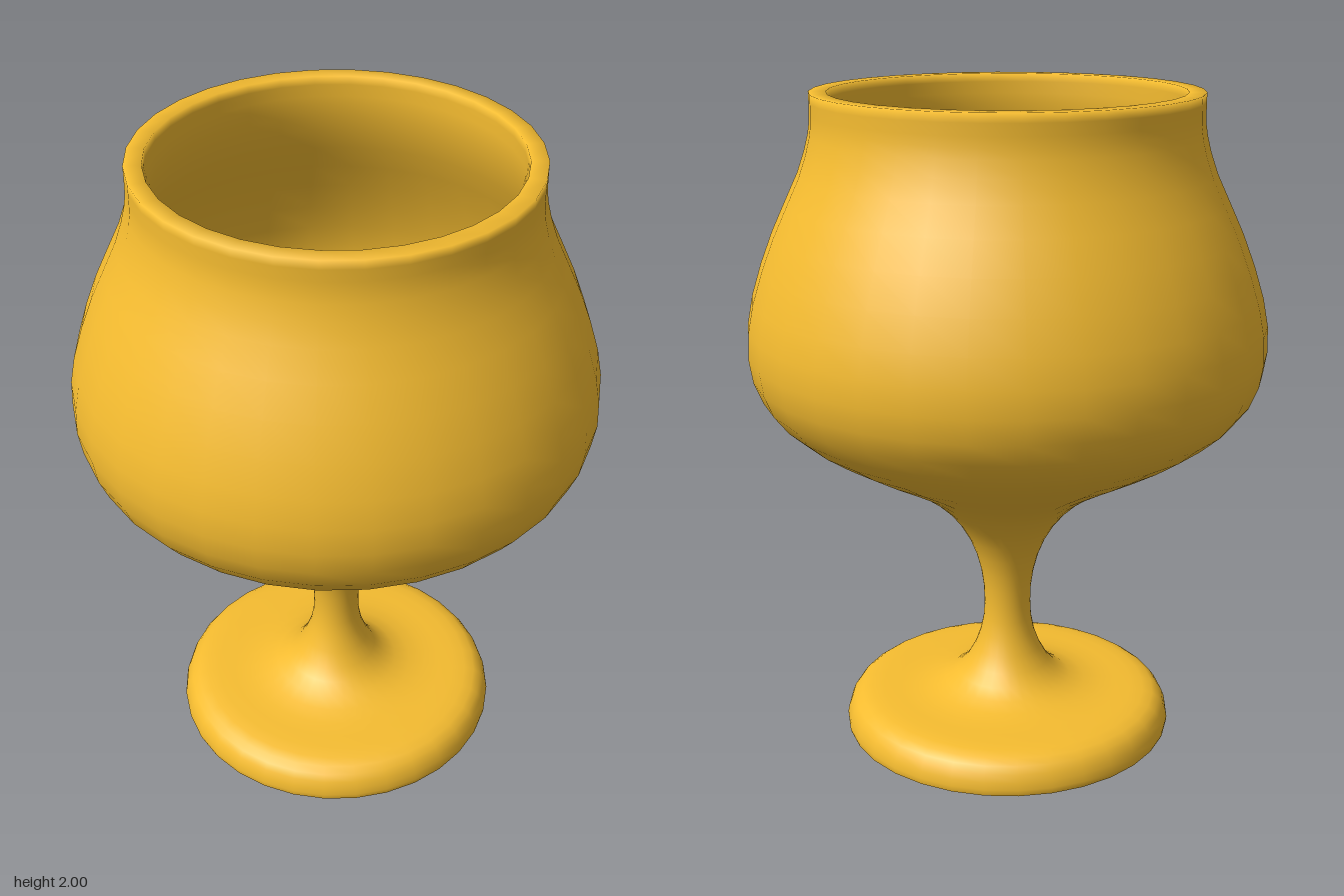
import * as THREE from 'three';

const WALL = 0.05;

// Outer silhouette, from the lip of the foot up to the rim: [radius, height]
const OUTLINE = [
  [0.515, 0], [0.518, 0.02], [0.505, 0.065], [0.47, 0.1], [0.4, 0.112], [0.3, 0.116],
  [0.2, 0.14], [0.13, 0.2], [0.085, 0.3], [0.073, 0.4], [0.083, 0.51], [0.12, 0.62],
  [0.19, 0.72], [0.3, 0.81], [0.48, 0.91], [0.64, 1.01], [0.74, 1.115], [0.777, 1.25],
  [0.757, 1.41], [0.69, 1.6], [0.61, 1.77], [0.576, 1.88], [0.57, 1.94], [0.57, 2],
];

export function createModel() {
  const group = new THREE.Group();
  group.name = 'goblet';

  const curve = new THREE.SplineCurve(OUTLINE.map(([r, y]) => new THREE.Vector2(r, y)));
  const steps = (OUTLINE.length - 1) * 2;
  const outer = [], inner = [];
  for (let i = 0; i <= steps; i++) {
    const p = curve.getPoint(i / steps);
    const t = curve.getTangent(i / steps);
    outer.push(p);
    // The inner wall follows the outer one at a constant thickness
    inner.push(new THREE.Vector2(
      Math.max(0.022, p.x - t.y * WALL),
      THREE.MathUtils.clamp(p.y + t.x * WALL * (i < steps ? 1 : 0), 0, 2),
    ));
  }
  inner[0].y = 0;
  outer[0].y = 0;

  // One closed shell: hollow foot, hollow stem and bowl
  const profile = [...outer, ...inner.reverse(), outer[0].clone()];
  const shell = new THREE.Mesh(
    new THREE.LatheGeometry(profile, 32),
    new THREE.MeshStandardMaterial({ color: 0xf5bc30, side: THREE.DoubleSide }),
  );
  shell.name = 'gobletShell';
  group.add(shell);
  return group;
}
